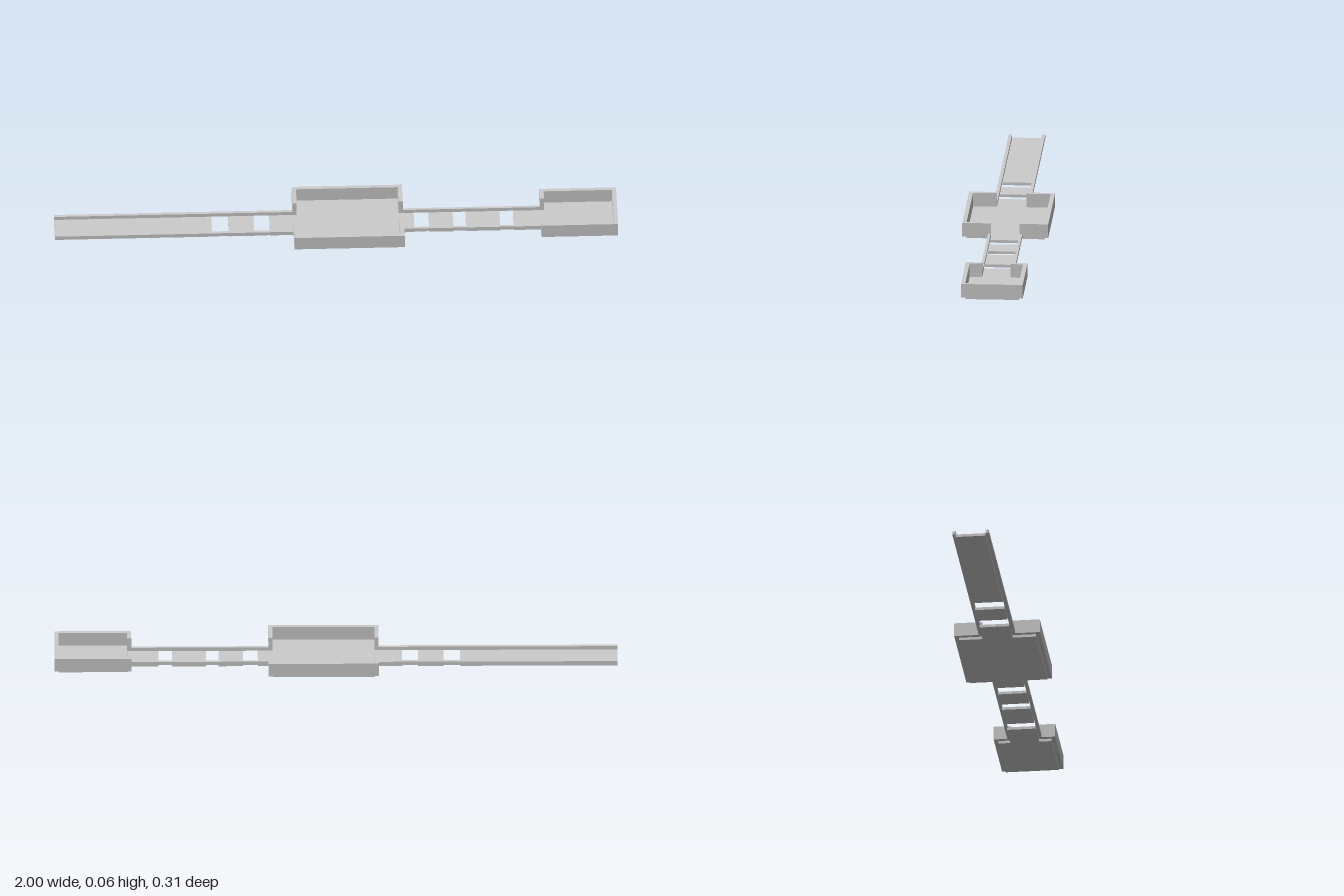
import * as THREE from 'three';

const FLOOR = 0.01, ROOM_TOP = 0.06, RAIL_TOP = 0.023, T = 0.015;

export function createModel() {
  const model = new THREE.Group();
  const material = new THREE.MeshStandardMaterial({ color: 0xcccccc, flatShading: true });

  const add = (name, geometry) => {
    const mesh = new THREE.Mesh(geometry, material);
    mesh.name = name;
    model.add(mesh);
  };

  const box = (name, x0, x1, y0, y1, z0, z1) => {
    const g = new THREE.BoxGeometry(x1 - x0, y1 - y0, z1 - z0);
    add(name, g.translate((x0 + x1) / 2, (y0 + y1) / 2, (z0 + z1) / 2));
  };

  // Room wall: a plan outline raised from the floor top to the room height
  const wall = (name, points) => {
    const shape = new THREE.Shape(points.map(([x, z]) => new THREE.Vector2(x, -z)));
    const g = new THREE.ExtrudeGeometry(shape, { depth: ROOM_TOP - FLOOR, bevelEnabled: false });
    add(name, g.rotateX(-Math.PI / 2).translate(0, FLOOR, 0));
  };

  // Corridor: floor panels separated by gaps, with a low rail on each side
  const corridor = (name, panels, railStart, railEnd, inner, outer) => {
    for (const [x0, x1] of panels) box(name + 'Floor', x0, x1, 0, FLOOR, -inner, inner);
    box(name + 'RailFront', railStart, railEnd, FLOOR, RAIL_TOP, inner, outer);
    box(name + 'RailBack', railStart, railEnd, FLOOR, RAIL_TOP, -outer, -inner);
  };

  // Central room, open to a corridor at both ends
  const a = -0.152, b = 0.24, w = 0.153, doorA = 0.053, doorB = 0.051;
  box('centralRoomFloor', a + T, b - T, 0, FLOOR, T - w, w - T);
  for (const s of [1, -1]) {
    wall(s > 0 ? 'centralRoomWallFront' : 'centralRoomWallBack', [
      [a, s * doorA], [a, s * w], [b, s * w], [b, s * doorB],
      [b - T, s * doorB], [b - T, s * (w - T)], [a + T, s * (w - T)], [a + T, s * doorA],
    ]);
  }

  // End room, open only towards the corridor
  const c = 0.727, d = 1, e = 0.11;
  box('endRoomFloor', c + T, d - T, 0, FLOOR, T - e, e - T);
  wall('endRoomWall', [
    [c, doorB], [c, e], [d, e], [d, -e], [c, -e], [c, -doorB],
    [c + T, -doorB], [c + T, T - e], [d - T, T - e], [d - T, e - T], [c + T, e - T], [c + T, doorB],
  ]);

  // Long entrance corridor and short linking corridor
  corridor('entranceCorridor', [[-1, -0.441], [-0.382, -0.291], [-0.235, a + T]], -1, a, doorA, 0.065);
  corridor('linkCorridor', [[b - T, 0.278], [0.331, 0.417], [0.462, 0.583], [0.631, c + T]], b, c, doorB, 0.061);

  return model;
}
